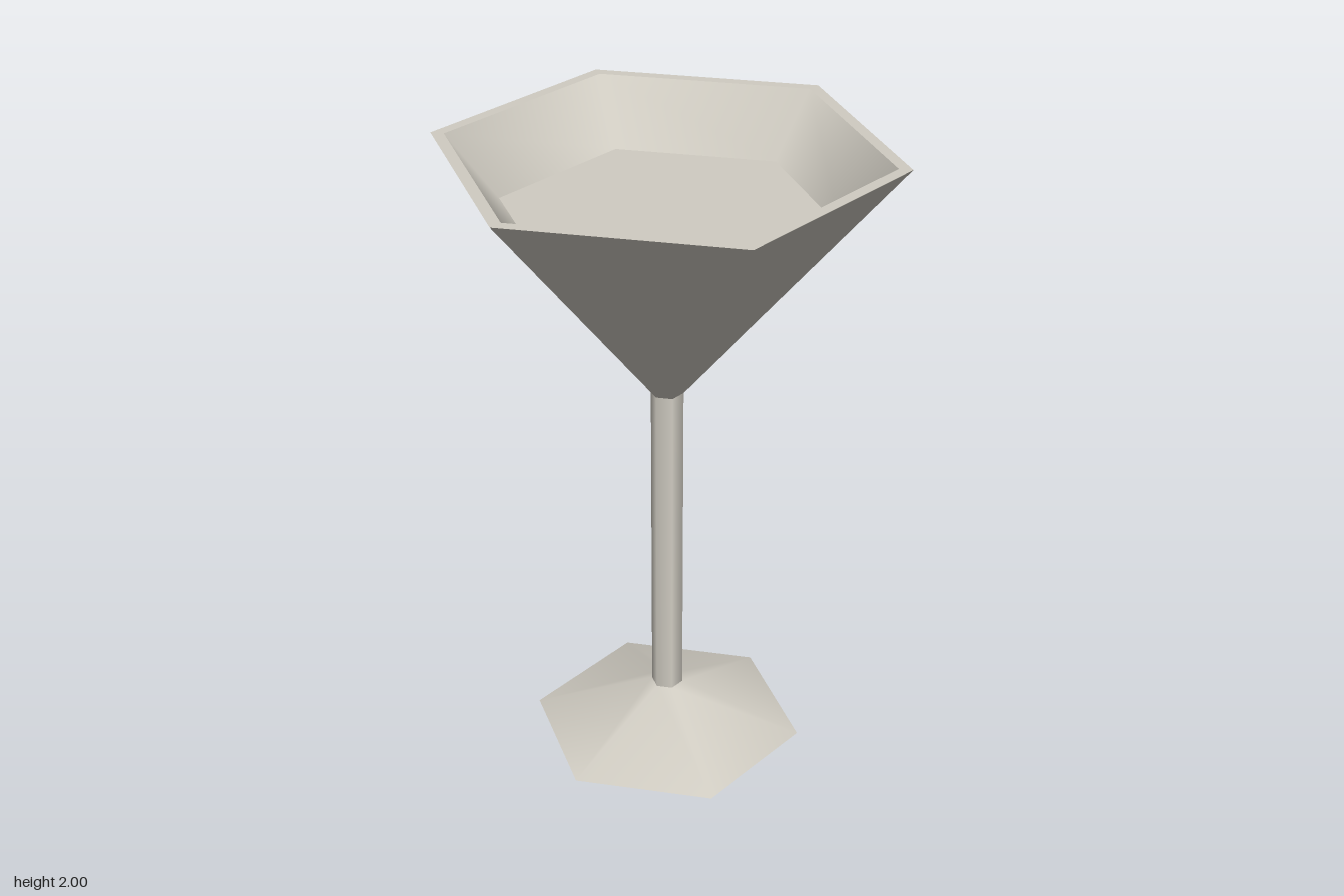
import * as THREE from 'three';

export function createModel() {
  const glass = new THREE.MeshStandardMaterial({ color: 0xd0ccc2 });
  glass.name = 'warm grey';
  const model = new THREE.Group();
  model.name = 'cocktailGlass';

  // Six-sided band swept between two [radius, height] points; corners are smooth
  // around the axis, while separate bands meet in sharp edges.
  function band(name, from, to, parent) {
    const profile = [from, to].map(([r, y]) => new THREE.Vector2(r, y));
    const mesh = new THREE.Mesh(new THREE.LatheGeometry(profile, 6), glass);
    mesh.name = name;
    parent.add(mesh);
  }

  function part(name) {
    const group = new THREE.Group();
    group.name = name;
    model.add(group);
    return group;
  }

  // Profile corners, from the floor up the outside and back down the inside
  const footEdge = [0.435, 0];
  const stemBottom = [0.05, 0.155];
  const stemTop = [0.05, 1.23];
  const rimOuter = [0.69, 2];
  const rimInner = [0.65, 2];
  const drinkEdge = [0.495, 1.814];

  const foot = part('foot');
  band('footUnderside', [0, 0], footEdge, foot);
  band('footSlope', footEdge, stemBottom, foot);

  band('stem', stemBottom, stemTop, model);

  const bowl = part('bowl');
  band('bowlOutside', stemTop, rimOuter, bowl);
  band('rim', rimOuter, rimInner, bowl);
  band('bowlInside', rimInner, drinkEdge, bowl);
  band('drinkSurface', drinkEdge, [0, drinkEdge[1]], bowl);

  return model;
}
